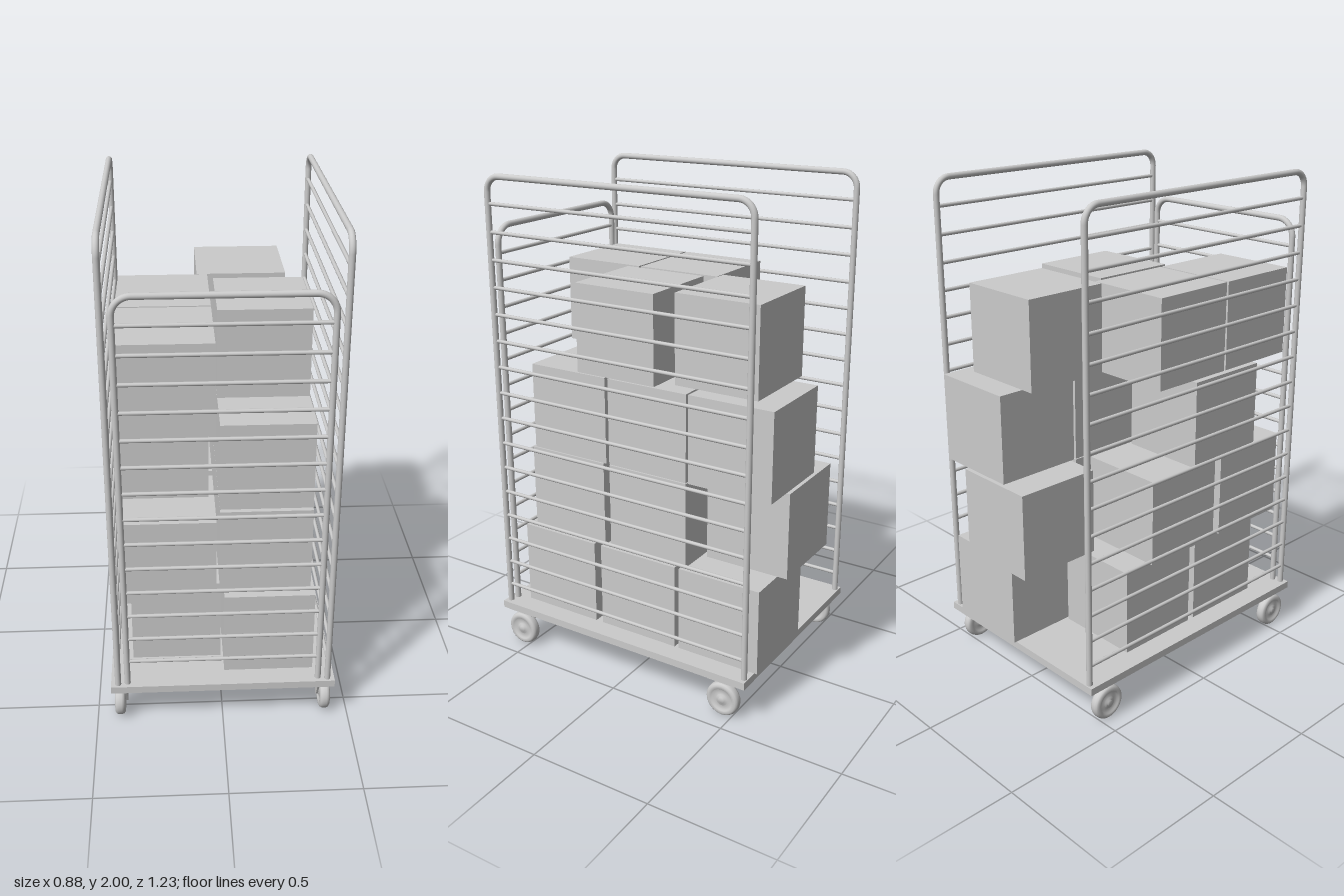
import * as THREE from 'three';

const material = new THREE.MeshStandardMaterial({ color: 0xcccccc });
const DECK_TOP = 0.19;

function add(parent, name, geometry, x = 0, y = 0, z = 0) {
  const mesh = new THREE.Mesh(geometry, material);
  mesh.name = name;
  mesh.position.set(x, y, z);
  parent.add(mesh);
  return mesh;
}

// Bent tube hoop in the XY plane, filled with evenly spaced rungs
function railFrame(name, half, top, bend, firstRung, lastRung, rungCount) {
  const frame = new THREE.Group();
  frame.name = name;
  const r = 0.012, rungR = 0.0075;
  const postHeight = top - bend - DECK_TOP;
  for (const s of [-1, 1]) {
    add(frame, 'post', new THREE.CylinderGeometry(r, r, postHeight, 16), s * half, DECK_TOP + postHeight / 2, 0);
    const corner = add(frame, 'bentCorner', new THREE.TorusGeometry(bend, r, 16, 12, Math.PI / 2), s * (half - bend), top - bend, 0);
    if (s < 0) corner.rotation.z = Math.PI / 2;
  }
  const topBar = add(frame, 'topBar', new THREE.CylinderGeometry(r, r, 2 * (half - bend), 16), 0, top, 0);
  topBar.rotation.z = Math.PI / 2;
  for (let i = 0; i < rungCount; i++) {
    const y = firstRung + (lastRung - firstRung) * i / (rungCount - 1);
    const rung = add(frame, 'rung', new THREE.CylinderGeometry(rungR, rungR, 2 * half, 10), 0, y, 0);
    rung.rotation.z = Math.PI / 2;
  }
  return frame;
}

// Wheel with stepped hub, carried by one tapered plate on the inner side
function caster(name, side, z) {
  const group = new THREE.Group();
  group.name = name;
  group.position.set(side * 0.409, 0.073, z);

  // Half profile [radius, axial offset], mirrored to the other face
  const half = [[0.012, 0.022], [0.012, 0.017], [0.024, 0.017], [0.024, 0.013],
    [0.044, 0.013], [0.047, 0.02], [0.06, 0.02], [0.067, 0.015], [0.07, 0.007]];
  const points = [[0, 0.022], ...half, ...half.map(([r, a]) => [r, -a]).reverse(), [0, -0.022]];
  const profile = points.reverse().map(([r, a]) => new THREE.Vector2(r, a));
  const flatEdges = new THREE.LatheGeometry(profile, 32);
  add(group, 'wheel', flatEdges).rotation.z = Math.PI / 2;

  const shape = new THREE.Shape();
  shape.moveTo(-0.06, 0.088);
  shape.lineTo(-0.014, -0.008);
  shape.quadraticCurveTo(0, -0.024, 0.014, -0.008);
  shape.lineTo(0.06, 0.088);
  shape.closePath();
  const plate = new THREE.ExtrudeGeometry(shape, { depth: 0.008, bevelEnabled: false });
  plate.translate(0, 0, -0.004);
  plate.rotateY(Math.PI / 2);
  add(group, 'forkPlate', plate, -side * 0.026, 0, 0);
  add(group, 'mountingPlate', new THREE.BoxGeometry(0.055, 0.008, 0.12), -side * 0.004, 0.084, 0);
  return group;
}

export function createModel() {
  const model = new THREE.Group();
  model.name = 'loadedRollCart';

  add(model, 'platform', new THREE.BoxGeometry(0.88, 0.03, 1.18), 0, 0.175, 0.025);

  // Two tall sides and a lower front
  for (const s of [-1, 1]) {
    const side = railFrame(s > 0 ? 'leftRailFrame' : 'rightRailFrame', 0.572, 1.988, 0.06, 0.27, 1.884, 16);
    side.rotation.y = Math.PI / 2;
    side.position.set(s * 0.412, 0, 0.023);
    model.add(side);
    model.add(caster('frontCaster', s, 0.53), caster('backCaster', s, -0.46));
  }
  const front = railFrame('frontRailFrame', 0.375, 1.793, 0.07, 0.296, 1.69, 14);
  front.position.z = 0.588;
  model.add(front);

  // Loosely stacked cartons: low corner [x, z] of each one, layer by layer
  const size = 0.352, step = 0.3555;
  const layers = [
    [[0.008, 0.179], [0.008, -0.205], [0.008, -0.576], [-0.355, 0.085], [-0.355, -0.298]],
    [[-0.007, 0.134], [-0.007, -0.246], [-0.132, -0.62], [-0.376, 0.205], [-0.376, -0.183]],
    [[-0.007, 0.12], [-0.007, -0.246], [-0.007, -0.608], [-0.398, 0.024]],
    [[-0.007, -0.106], [-0.069, -0.511], [-0.38, 0.207], [-0.38, -0.155]],
  ];
  const carton = new THREE.BoxGeometry(size, size, size);
  layers.forEach((layer, i) => {
    const group = new THREE.Group();
    group.name = `cartonLayer${i + 1}`;
    for (const [x, z] of layer) {
      add(group, 'carton', carton, x + size / 2, DECK_TOP + 0.001 + i * step + size / 2, z + size / 2);
    }
    model.add(group);
  });

  return model;
}
